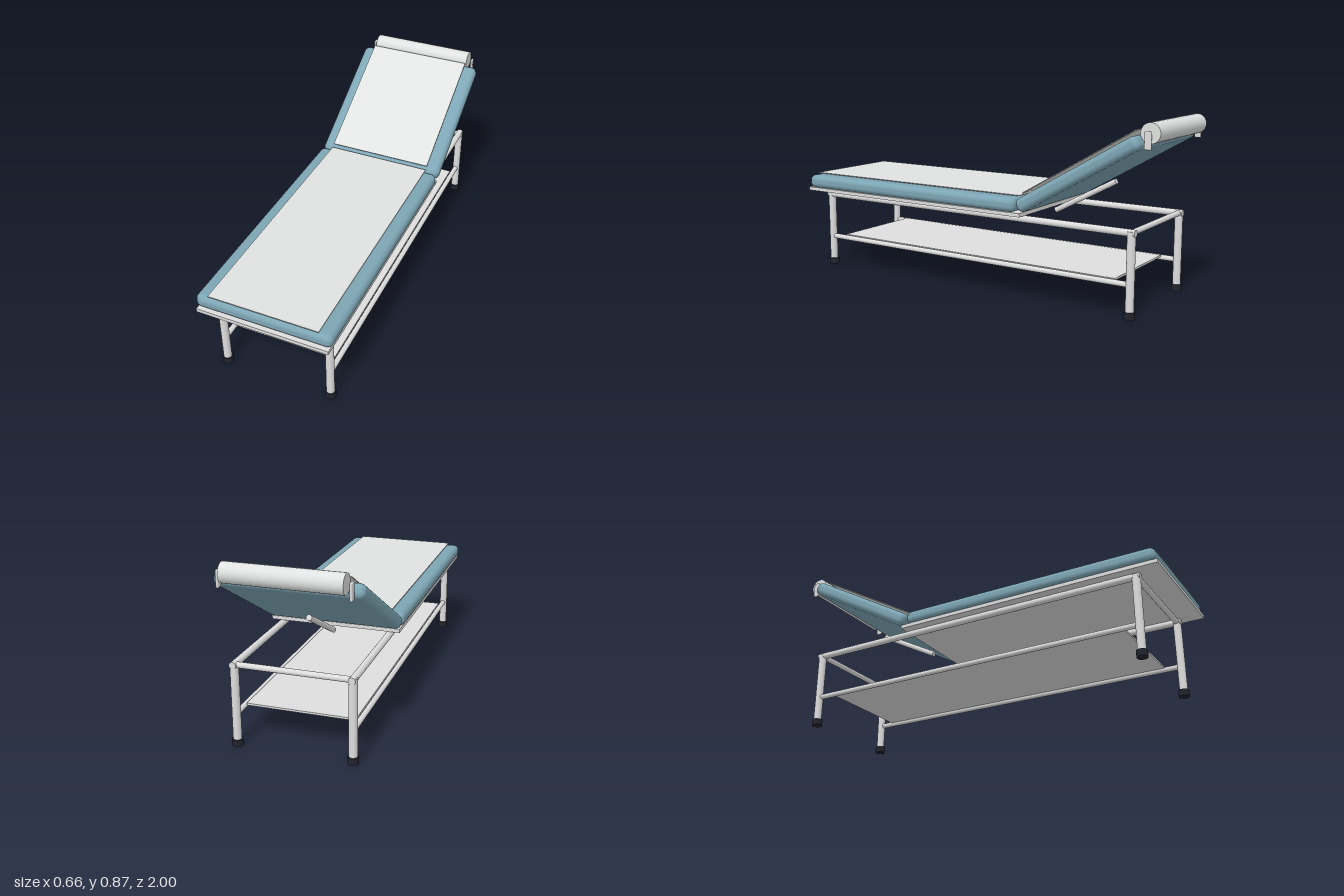
import * as THREE from 'three';
import { RoundedBoxGeometry } from 'three/addons/geometries/RoundedBoxGeometry.js';

const material = (name, color) => {
  const m = new THREE.MeshStandardMaterial({ color });
  m.name = name;
  return m;
};

export function createModel() {
  const metal = material('light metal', 0xdcdddc);
  const paper = material('paper', 0xdfe2e0);
  const vinyl = material('blue vinyl', 0x7da5b4);
  const rubber = material('dark rubber', 0x23232e);

  const model = new THREE.Group();
  model.name = 'examinationCouch';

  const add = (name, geometry, mat, x, y, z, tilt = 0) => {
    const mesh = new THREE.Mesh(geometry, mat);
    mesh.name = name;
    mesh.position.set(x, y, z);
    mesh.rotation.x = tilt;
    model.add(mesh);
    return mesh;
  };

  // Round bar between two points
  const bar = (name, a, b, radius, mat = metal) => {
    const from = new THREE.Vector3(...a);
    const to = new THREE.Vector3(...b);
    const direction = to.clone().sub(from);
    const mid = from.clone().add(to).multiplyScalar(0.5);
    const geometry = new THREE.CylinderGeometry(radius, radius, direction.length(), 24);
    const mesh = add(name, geometry, mat, mid.x, mid.y, mid.z);
    mesh.quaternion.setFromUnitVectors(new THREE.Vector3(0, 1, 0), direction.normalize());
    return mesh;
  };

  const legX = 0.268;
  const legZ = 0.88;

  // Tubular frame
  for (const x of [-legX, legX]) {
    for (const z of [-legZ, legZ]) {
      bar('leg', [x, 0.02, z], [x, 0.392, z], 0.0195);
      bar('foot', [x, 0, z], [x, 0.032, z], 0.0255, rubber);
    }
    bar('topRail', [x, 0.384, -0.9], [x, 0.384, 0.9], 0.0165);
    bar('lowerRail', [x, 0.153, -legZ], [x, 0.153, legZ], 0.013);
  }
  for (const z of [-legZ, legZ]) {
    bar('crossBar', [-legX, 0.384, z], [legX, 0.384, z], 0.0137);
  }

  // Shelf and bed base
  add('shelf', new THREE.BoxGeometry(0.51, 0.01, 1.6), metal, 0, 0.162, 0);
  add('bedBase', new THREE.BoxGeometry(0.64, 0.018, 1.34), metal, 0, 0.409, 0.33);

  // Seat cushion and its paper
  add('seatCushion', new RoundedBoxGeometry(0.66, 0.067, 1.3, 5, 0.028), vinyl, 0, 0.4505, 0.34);
  add('seatPaper', new THREE.BoxGeometry(0.534, 0.004, 1.285), paper, 0, 0.49, 0.335);

  // Raised backrest, its paper and its support bar
  const tilt = Math.PI / 6;
  add('backCushion', new RoundedBoxGeometry(0.66, 0.067, 0.688, 5, 0.028), vinyl, 0, 0.616, -0.622, tilt);
  add('backPaper', new THREE.BoxGeometry(0.534, 0.004, 0.652), paper, 0, 0.667, -0.606, tilt);
  bar('backSupport', [0, 0.385, -0.355], [0, 0.556, -0.675], 0.0135);

  // Paper roll and its holders
  bar('paperRoll', [-0.267, 0.819, -0.953], [0.267, 0.819, -0.953], 0.046, paper);
  for (const x of [-0.287, 0.287]) {
    add('rollHolder', new RoundedBoxGeometry(0.012, 0.08, 0.032, 4, 0.0055), metal, x, 0.79, -0.951);
  }

  return model;
}
